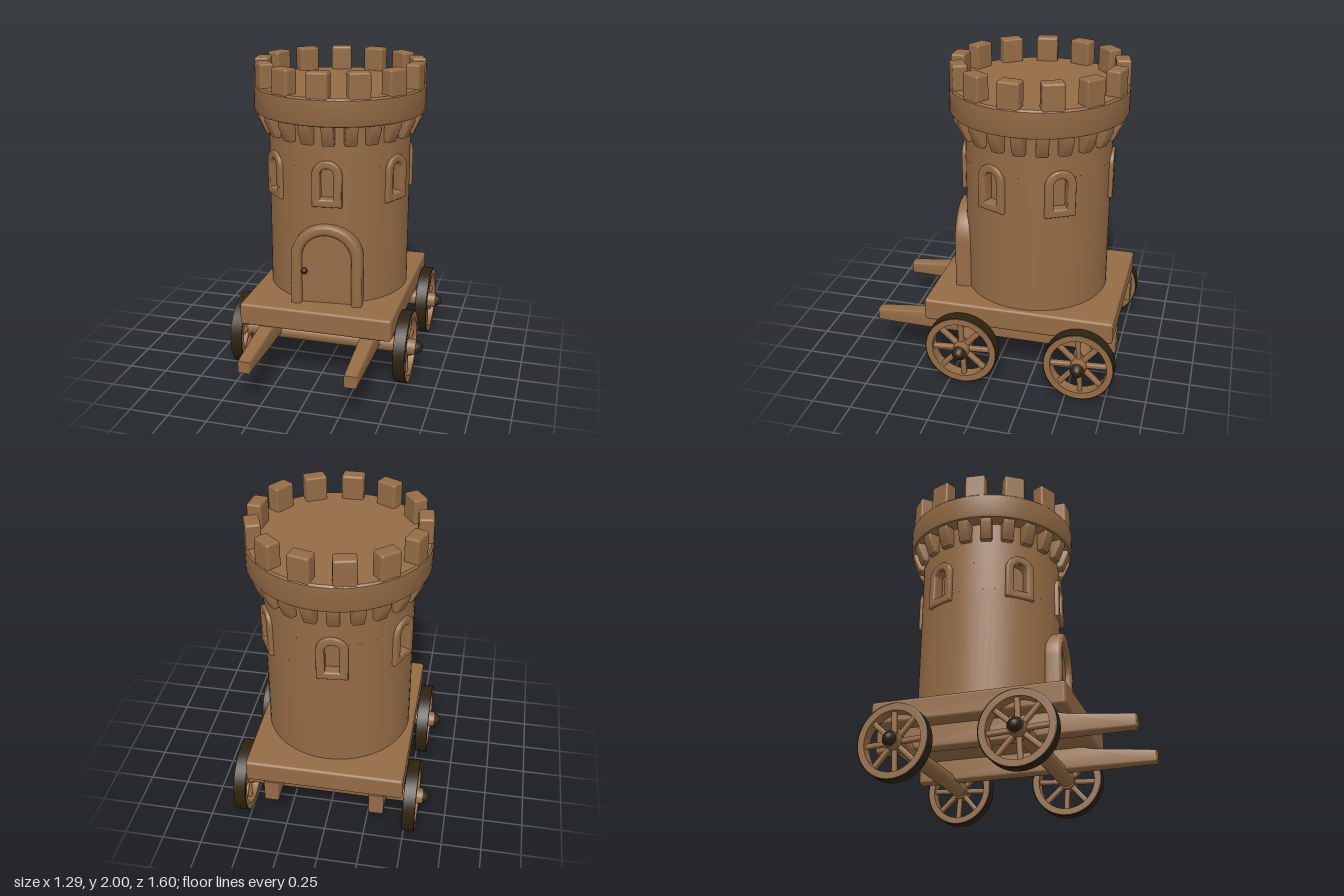
import * as THREE from 'three';
import { toCreasedNormals } from 'three/addons/utils/BufferGeometryUtils.js';
import { RoundedBoxGeometry } from 'three/addons/geometries/RoundedBoxGeometry.js';

const wood = new THREE.MeshStandardMaterial({ color: 0x946c45 });
wood.name = 'wood brown';
const iron = new THREE.MeshStandardMaterial({ color: 0x2e2310 });
iron.name = 'dark iron';

const rad = THREE.MathUtils.degToRad;
const R = 0.455; // tower wall radius

function add(parent, name, geometry, material = wood, x = 0, y = 0, z = 0) {
  const mesh = new THREE.Mesh(geometry, material);
  mesh.name = name;
  mesh.position.set(x, y, z);
  parent.add(mesh);
  return mesh;
}

// Group turned about the tower axis; its +z points outward
function spoke(parent, name, angle) {
  const g = new THREE.Group();
  g.name = name;
  g.rotation.y = angle;
  parent.add(g);
  return g;
}

// Extrusion with softened edges, overall size kept inside the given depth
function extrude(shape, depth, bevel) {
  const geo = new THREE.ExtrudeGeometry(shape, {
    depth: depth - 2 * bevel, bevelEnabled: bevel > 0, bevelSize: bevel, bevelThickness: bevel,
    bevelOffset: -bevel, bevelSegments: 3, curveSegments: 20,
  });
  geo.translate(0, 0, bevel);
  return toCreasedNormals(geo, 0.6);
}

// Side profile of [z, y] points given a width along x
function sideProfile(points, width, bevel) {
  const geo = extrude(new THREE.Shape(points.map(([a, b]) => new THREE.Vector2(a, b))), width, bevel);
  return geo.translate(0, 0, -width / 2).rotateY(-Math.PI / 2);
}

// Round-headed outline
function arch(PathType, half, bottom, spring) {
  const p = new PathType();
  p.moveTo(-half, bottom);
  p.lineTo(half, bottom);
  p.lineTo(half, spring);
  p.absarc(0, spring, half, 0, Math.PI, false);
  p.lineTo(-half, bottom);
  return p;
}

function wall(parent, y0, y1, start = 0, length = Math.PI * 2, segments = 72) {
  add(parent, 'towerWall', new THREE.CylinderGeometry(R, R, y1 - y0, segments, 1, true, start, length), wood, 0, (y0 + y1) / 2, 0);
}

function buildTower() {
  const tower = new THREE.Group();
  tower.name = 'tower';
  tower.position.z = -0.19;

  // Wall, with a middle band left open at each window
  wall(tower, 0.5, 1.21);
  wall(tower, 1.4, 1.69);
  const windows = [5, 65, 119, 185, 245, 312].map(rad);
  const gap = Math.asin(0.06 / R);
  windows.forEach((a, i) => {
    const next = i < 5 ? windows[i + 1] : windows[0] + Math.PI * 2;
    wall(tower, 1.21, 1.4, a + gap, next - a - 2 * gap, 12);

    // Arched window frame and its recessed back
    const g = spoke(tower, 'window', a);
    const frame = arch(THREE.Shape, 0.094, 1.16, 1.36);
    frame.holes.push(arch(THREE.Path, 0.044, 1.21, 1.36));
    add(g, 'windowFrame', extrude(frame, 0.075, 0.01), wood, 0, 0, 0.397);
    add(g, 'windowRecess', new THREE.ShapeGeometry(arch(THREE.Shape, 0.07, 1.18, 1.36), 16), wood, 0, 0, 0.404);
  });

  // Door with raised surround and knob
  const door = spoke(tower, 'door', rad(5));
  const surround = arch(THREE.Shape, 0.226, 0.51, 0.824);
  surround.holes.push(arch(THREE.Path, 0.158, 0.505, 0.824));
  // The surround is open at the foot, so it is drawn as one horseshoe outline
  const shoe = new THREE.Shape();
  shoe.moveTo(0.158, 0.5);
  shoe.lineTo(0.226, 0.5);
  shoe.lineTo(0.226, 0.824);
  shoe.absarc(0, 0.824, 0.226, 0, Math.PI, false);
  shoe.lineTo(-0.226, 0.5);
  shoe.lineTo(-0.158, 0.5);
  shoe.lineTo(-0.158, 0.824);
  shoe.absarc(0, 0.824, 0.158, Math.PI, 0, true);
  shoe.lineTo(0.158, 0.5);
  add(door, 'doorSurround', extrude(shoe, 0.11, 0.022), wood, 0, 0, 0.392);
  add(door, 'doorPanel', extrude(arch(THREE.Shape, 0.17, 0.5, 0.824), 0.06, 0), wood, 0, 0, 0.403);
  add(door, 'doorKnob', new THREE.SphereGeometry(0.021, 16, 12), iron, -0.142, 0.735, 0.475);

  // Crown slab
  const profile = [[0.44, 1.675], [0.525, 1.675], [0.54, 1.681], [0.546, 1.695], [0.546, 1.838], [0.536, 1.85], [0, 1.85]];
  const crown = new THREE.LatheGeometry(profile.map(([x, y]) => new THREE.Vector2(x, y)), 72);
  add(tower, 'crown', toCreasedNormals(crown, 0.6));

  // Merlons
  for (let i = 0; i < 13; i++) {
    const g = spoke(tower, 'merlon', (i / 13) * Math.PI * 2);
    add(g, 'merlonBlock', new RoundedBoxGeometry(0.133, 0.18, 0.09, 3, 0.014), wood, 0, 1.91, 0.495);
  }

  // Corbels under the crown
  const corbel = sideProfile([[0.42, 1.55], [0.485, 1.55], [0.497, 1.575], [0.53, 1.65], [0.53, 1.69], [0.42, 1.69]], 0.075, 0.01);
  for (let i = 0; i < 22; i++) {
    add(spoke(tower, 'corbel', ((i + 0.4) / 22) * Math.PI * 2), 'corbelBlock', corbel);
  }
  return tower;
}

function buildWheel() {
  // Built facing +z, then turned outward to +x
  const wheel = new THREE.Group();
  wheel.name = 'wheel';
  const rim = new THREE.Shape().absarc(0, 0, 0.226, 0, Math.PI * 2);
  rim.holes.push(new THREE.Path().absarc(0, 0, 0.186, 0, Math.PI * 2));
  const rimGeo = new THREE.ExtrudeGeometry(rim, { depth: 0.076, bevelEnabled: false, curveSegments: 48 });
  add(wheel, 'rim', toCreasedNormals(rimGeo, 0.6), wood, 0, 0, -0.038);

  // Dark tyre band
  const band = [[0.224, -0.04], [0.232, -0.037], [0.232, 0.037], [0.224, 0.04]];
  const tyre = new THREE.LatheGeometry(band.map(([x, y]) => new THREE.Vector2(x, y)), 56);
  add(wheel, 'tyre', toCreasedNormals(tyre.rotateX(Math.PI / 2), 0.6), iron);

  for (let i = 0; i < 8; i++) {
    const g = new THREE.Group();
    g.name = 'spoke';
    g.rotation.z = (i / 8) * Math.PI * 2 + 0.06;
    wheel.add(g);
    add(g, 'spokeBar', new RoundedBoxGeometry(0.032, 0.17, 0.036, 2, 0.01), wood, 0, 0.11, 0);
  }

  // Hub and dark axle cap
  add(wheel, 'hub', new THREE.CylinderGeometry(0.05, 0.056, 0.11, 24).rotateX(Math.PI / 2), wood, 0, 0, 0.015);
  const cap = [[0.036, 0.055], [0.044, 0.065], [0.044, 0.08], [0.03, 0.095], [0.024, 0.106], [0.012, 0.111], [0, 0.112]];
  const capGeo = new THREE.LatheGeometry(cap.map(([x, y]) => new THREE.Vector2(x, y)), 20);
  add(wheel, 'axleCap', capGeo.rotateX(Math.PI / 2), iron);
  return wheel;
}

function buildCart() {
  const cart = new THREE.Group();
  cart.name = 'cart';
  add(cart, 'platform', new RoundedBoxGeometry(0.98, 0.145, 1.2, 3, 0.018), wood, 0, 0.45, -0.17);

  // Long beams that taper into the shafts at the front
  for (const s of [-1, 1]) {
    const geo = sideProfile([[-0.78, 0.242], [0.42, 0.242], [0.8, 0.245], [0.8, 0.322], [0.4, 0.365], [0.3, 0.39], [-0.78, 0.39]], 0.094, 0.012);
    const p = geo.attributes.position;
    for (let i = 0; i < p.count; i++) {
      if (p.getZ(i) > 0.5) p.setX(i, p.getX(i) * 0.86);
    }
    add(cart, 'shaft', geo, wood, s * 0.33, 0, 0);
  }

  // Axles and wheels
  for (const z of [0.17, -0.58]) {
    add(cart, 'axle', new THREE.CylinderGeometry(0.052, 0.052, 1.02, 24).rotateZ(Math.PI / 2), wood, 0, 0.243, z);
    for (const s of [-1, 1]) {
      const wheel = buildWheel();
      wheel.position.set(s * 0.535, 0.236, z);
      wheel.rotation.y = (s * Math.PI) / 2;
      if (z < 0) wheel.scale.set(0.95, 1, 1);
      cart.add(wheel);
    }
  }
  return cart;
}

export function createModel() {
  const model = new THREE.Group();
  model.name = 'siegeTower';
  model.add(buildTower(), buildCart());
  return model;
}
